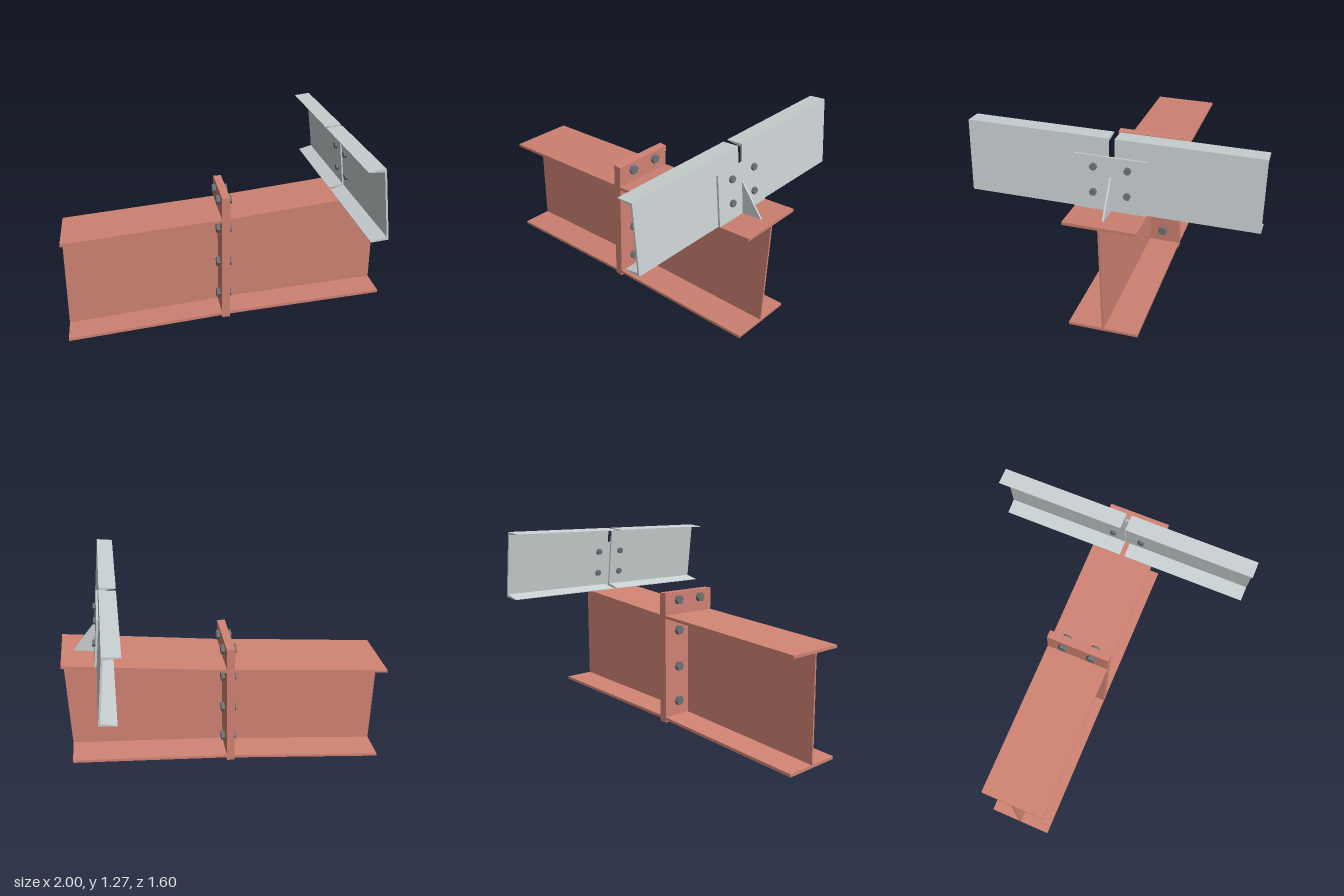
import * as THREE from 'three';
import { toCreasedNormals } from 'three/addons/utils/BufferGeometryUtils.js';

const paint = (name, color) => {
  const m = new THREE.MeshStandardMaterial({ color });
  m.name = name;
  return m;
};

export function createModel() {
  const red = paint('red oxide steel', 0xd08373);
  const zinc = paint('galvanised steel', 0xcad1d2);
  const dark = paint('dark bolt steel', 0x6c7377);

  const model = new THREE.Group();
  model.name = 'bolted rafter joint';

  const add = (parent, name, geometry, material, x = 0, y = 0, z = 0) => {
    const mesh = new THREE.Mesh(geometry, material);
    mesh.name = name;
    mesh.position.set(x, y, z);
    parent.add(mesh);
    return mesh;
  };

  // Outline in x and y, extruded to the given width about z
  const slab = (points, width, z = 0) => {
    const shape = new THREE.Shape(points.map(([x, y]) => new THREE.Vector2(x, y)));
    const g = new THREE.ExtrudeGeometry(shape, { depth: width, bevelEnabled: false });
    return g.translate(0, 0, z - width / 2);
  };

  // Hexagonal bolt part with its axis along x and corners towards +z and -z
  const hex = (radius, length) => toCreasedNormals(
    new THREE.CylinderGeometry(radius, radius, length, 6).rotateZ(Math.PI / 2), 0.5);

  // Sloping I-beam between two vertical cuts
  const beam = (name, x0, bottom0, top0, x1, bottom1, top1) => {
    const t = 0.018;
    const group = new THREE.Group();
    group.name = name;
    const strip = (a0, b0, a1, b1, width) =>
      slab([[x0, a0], [x1, a1], [x1, b1], [x0, b0]], width);
    add(group, 'bottomFlange', strip(bottom0, bottom0 + t, bottom1, bottom1 + t, 0.4), red);
    add(group, 'topFlange', strip(top0 - t, top0, top1 - t, top1, 0.4), red);
    add(group, 'web', strip(bottom0 + t, top0 - t, bottom1 + t, top1 - t, 0.012), red);
    model.add(group);
  };
  beam('lowerRafter', -1, 0, 0.674, -0.025, 0.105, 0.77);
  beam('upperRafter', 0.025, 0.112, 0.773, 1, 0.189, 0.892);

  // Pair of end plates bolted back to back
  for (const side of [-1, 1]) {
    add(model, 'endPlate', new THREE.BoxGeometry(0.025, 0.82, 0.4), red, side * 0.0125, 0.5, 0);
    for (const y of [0.86, 0.67, 0.44, 0.215]) {
      for (const z of [-0.093, 0.093]) {
        add(model, 'endPlateBolt', hex(0.03, 0.022), dark, side * 0.036, y, z);
      }
    }
  }

  // Purlin connection, tilted to stand square on the rafter
  const joint = new THREE.Group();
  joint.name = 'purlinConnection';
  joint.position.set(0.795, 0.866, 0);
  joint.rotation.z = Math.atan(0.12);
  model.add(joint);

  // Channel section with tapered flanges
  const channel = [
    [0, 0], [0, 0.41], [-0.1, 0.41], [-0.1, 0.406], [-0.011, 0.392],
    [-0.011, 0.018], [-0.1, 0.004], [-0.1, 0],
  ];
  for (const side of [-1, 1]) {
    add(joint, side > 0 ? 'frontPurlin' : 'backPurlin', slab(channel, 0.784, side * 0.408), zinc);
    for (const v of [0.104, 0.25]) {
      add(joint, 'purlinBoltHead', hex(0.021, 0.016), dark, 0.02, v, side * 0.093);
      add(joint, 'purlinBoltNut', hex(0.021, 0.016), dark, -0.019, v, side * 0.093);
    }
  }

  // Cleat plate and its triangular stiffener
  add(joint, 'cleatPlate', new THREE.BoxGeometry(0.012, 0.31, 0.4), zinc, 0.006, 0.155, 0);
  add(joint, 'cleatStiffener', slab([[0.012, 0], [0.137, 0], [0.012, 0.2]], 0.01), zinc);

  return model;
}
